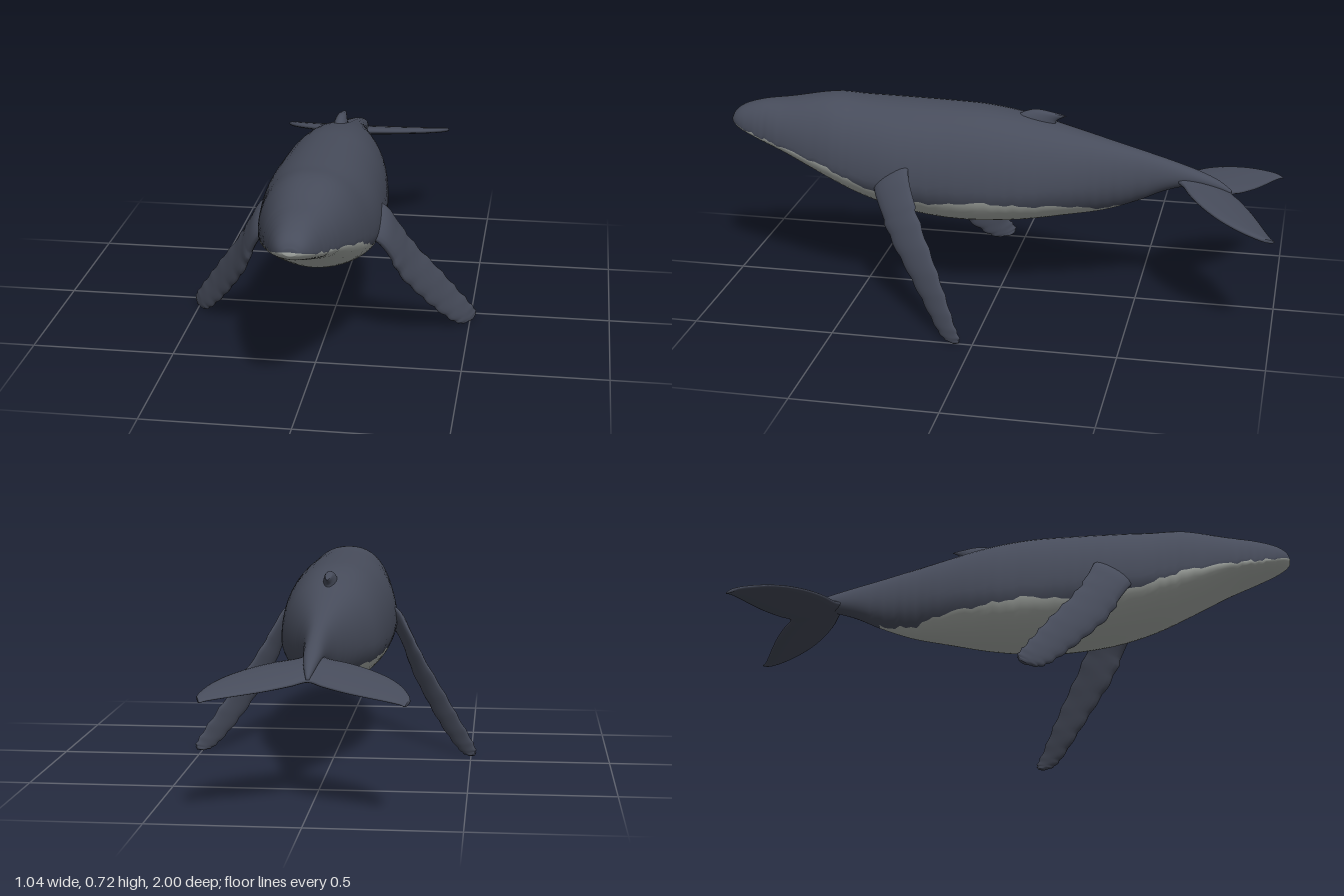
import * as THREE from 'three';

const V = (x, y, z) => new THREE.Vector3(x, y, z);
const curve = (pts) => new THREE.CatmullRomCurve3(pts, false, 'catmullrom', 0.5);

// Skin closed rings into a capped solid; group 0 is the main colour, group 1 the second one
function loft(rings, isSecond = () => false) {
  const n = rings[0].length, last = rings.length - 1;
  const pts = rings.flat();
  const sets = [[], []];
  for (let i = 0; i < last; i++) {
    for (let j = 0; j < n; j++) {
      const a = i * n + j, b = i * n + (j + 1) % n;
      sets[isSecond(i, j) ? 1 : 0].push(a, b, a + n, b, b + n, a + n);
    }
  }
  for (const i of [0, last]) {
    const mid = rings[i].reduce((s, p) => s.add(p), V(0, 0, 0)).divideScalar(n);
    const c = pts.push(mid) - 1;
    for (let j = 0; j < n; j++) {
      const a = i * n + j, b = i * n + (j + 1) % n;
      sets[isSecond(i, j) ? 1 : 0].push(...(i === 0 ? [c, b, a] : [c, a, b]));
    }
  }
  // Make every face point outward
  const idx = sets.flat();
  let volume = 0;
  for (let k = 0; k < idx.length; k += 3) {
    volume += pts[idx[k]].dot(V(0, 0, 0).crossVectors(pts[idx[k + 1]], pts[idx[k + 2]]));
  }
  if (volume < 0) for (let k = 0; k < idx.length; k += 3) [idx[k], idx[k + 1]] = [idx[k + 1], idx[k]];

  const geo = new THREE.BufferGeometry().setFromPoints(pts);
  geo.setIndex(idx);
  geo.addGroup(0, sets[0].length, 0);
  if (sets[1].length) geo.addGroup(sets[0].length, sets[1].length, 1);
  geo.computeVertexNormals();
  return geo;
}

// Fin: lens-shaped sections between a leading and a trailing edge
function foil(lead, trail, thickness, steps, bump = () => 0) {
  const L = curve(lead), T = curve(trail), K = 18;
  const mid = (t) => L.getPoint(t).add(T.getPoint(t)).multiplyScalar(0.5);
  const rings = [];
  for (let i = 0; i <= steps; i++) {
    const t = i / steps;
    const chord = T.getPoint(t).sub(L.getPoint(t));
    const span = mid(Math.min(1, t + 0.02)).sub(mid(Math.max(0, t - 0.02)));
    const normal = V(0, 0, 0).crossVectors(chord, span).normalize();
    const start = L.getPoint(t).addScaledVector(chord.clone().normalize(), -bump(t));
    rings.push(Array.from({ length: K }, (_, k) => {
      const a = (k / K) * Math.PI * 2, u = (1 - Math.cos(a)) / 2;
      return start.clone().addScaledVector(chord, u)
        .addScaledVector(normal, thickness(t) * 0.5 * Math.sin(a) * (1.15 - 0.4 * u));
    }));
  }
  return loft(rings);
}

// Body stations: z, top, bottom, half width, height of widest point, colour edge
const STATIONS = [
  [1.0, 0.615, 0.592, 0.022, 0.603, 0.603],
  [0.985, 0.638, 0.578, 0.045, 0.6, 0.597],
  [0.95, 0.66, 0.56, 0.068, 0.588, 0.585],
  [0.88, 0.68, 0.533, 0.095, 0.568, 0.566],
  [0.78, 0.694, 0.492, 0.128, 0.548, 0.543],
  [0.62, 0.721, 0.41, 0.17, 0.51, 0.5],
  [0.5, 0.717, 0.355, 0.192, 0.48, 0.45],
  [0.36, 0.714, 0.31, 0.208, 0.465, 0.405],
  [0.2, 0.711, 0.284, 0.206, 0.455, 0.39],
  [0.05, 0.705, 0.281, 0.196, 0.45, 0.404],
  [-0.1, 0.682, 0.295, 0.175, 0.45, 0.392],
  [-0.25, 0.644, 0.32, 0.132, 0.46, 0.386],
  [-0.38, 0.61, 0.345, 0.09, 0.47, 0.366],
  [-0.5, 0.578, 0.388, 0.057, 0.48, 0.39],
  [-0.6, 0.55, 0.434, 0.04, 0.49, 0.42],
  [-0.7, 0.518, 0.46, 0.03, 0.488, 0.44],
  [-0.78, 0.485, 0.45, 0.018, 0.466, 0.44],
  [-0.83, 0.45, 0.435, 0.006, 0.442, 0.43],
];

function bodyGeometry() {
  const A = curve(STATIONS.map((s) => V(s[0], s[1], s[2])));
  const B = curve(STATIONS.map((s) => V(s[3], s[4], s[5])));
  const STEPS = 102, BACK = 14, HALF = 24;
  const rings = [], zs = [];
  for (let i = 0; i <= STEPS; i++) {
    const { x: z, y: top, z: bottom } = A.getPoint(i / STEPS);
    const { x: w, y: mid, z: e } = B.getPoint(i / STEPS);
    zs.push(z);
    // Slightly ragged colour edge
    const edge = e + (z < 0.95 ? 0.004 * Math.sin(i * 1.3) + 0.003 * Math.sin(i * 2.9) : 0);
    const h = edge > mid ? top - mid : mid - bottom;
    const split = Math.min(Math.acos(THREE.MathUtils.clamp((edge - mid) / h, -1, 1)), Math.PI * 0.97);
    rings.push(Array.from({ length: HALF * 2 }, (_, j) => {
      const k = j <= HALF ? j : HALF * 2 - j;
      const a = k <= BACK ? (split * k) / BACK
        : split + ((Math.PI - split) * (k - BACK)) / (HALF - BACK);
      const c = Math.cos(a), s = Math.max(0, Math.sin(a));
      const x = w * Math.pow(s, c > 0 ? 0.88 : 1.12);
      return V(j <= HALF ? x : -x, mid + c * (c > 0 ? top - mid : mid - bottom), z);
    }));
  }
  return loft(rings, (i, j) => zs[i] > -0.49 && (j < HALF ? j : HALF * 2 - 1 - j) >= BACK);
}

export function createModel() {
  const slate = new THREE.MeshStandardMaterial({ color: 0x474c5b });
  slate.name = 'slate skin';
  const pale = new THREE.MeshStandardMaterial({ color: 0xaeb3ae });
  pale.name = 'pale belly';

  const model = new THREE.Group();
  model.name = 'whale';
  const add = (name, geo, material = slate) => {
    const mesh = new THREE.Mesh(geo, material);
    mesh.name = name;
    model.add(mesh);
  };

  add('body', bodyGeometry(), [slate, pale]);

  // Flippers with a knobbly leading edge
  const lead = [[0.14, 0.45, 0.43], [0.2, 0.425, 0.415], [0.238, 0.37, 0.385], [0.278, 0.27, 0.33],
    [0.332, 0.18, 0.26], [0.387, 0.1, 0.195], [0.44, 0.037, 0.14], [0.472, 0.01, 0.105], [0.495, 0.005, 0.07]];
  const trail = [[0.14, 0.55, 0.3], [0.212, 0.515, 0.29], [0.255, 0.445, 0.265], [0.32, 0.34, 0.21],
    [0.39, 0.24, 0.15], [0.45, 0.15, 0.1], [0.5, 0.075, 0.06], [0.52, 0.036, 0.038], [0.514, 0.014, 0.045]];
  for (const [name, side] of [['leftFlipper', 1], ['rightFlipper', -1]]) {
    const mirror = (list) => list.map(([x, y, z]) => V(x * side, y, z));
    add(name, foil(mirror(lead), mirror(trail), (t) => 0.05 - 0.034 * t, 72,
      (t) => (t > 0.3 && t < 0.92 ? 0.007 * Math.abs(Math.sin(t * 36)) : 0)));
  }

  // Tail flukes: x, leading z, trailing z, swept from tip to tip
  const half = [[0.05, -0.658, -0.868], [0.12, -0.69, -0.908], [0.19, -0.735, -0.94],
    [0.255, -0.795, -0.967], [0.3, -0.86, -0.988], [0.326, -0.925, -1.0], [0.332, -0.96, -0.999]];
  const all = [...half.map(([x, a, b]) => [-x, a, b]).reverse(), [0, -0.62, -0.835], ...half];
  const flukePoint = (x, z) => V(x, 0.476 + (z + 0.66) * 0.245, z);
  add('tailFlukes', foil(all.map(([x, a]) => flukePoint(x, a)),
    all.map(([x, , b]) => flukePoint(x * (Math.abs(x) > 0.32 ? 0.96 : 1), b)),
    (t) => 0.038 - 0.026 * Math.abs(t * 2 - 1), 64));

  // Small hooked dorsal fin
  add('dorsalFin', foil(
    [V(0, 0.65, 0), V(0, 0.682, -0.06), V(0, 0.7, -0.1), V(0, 0.705, -0.135), V(0, 0.697, -0.18)],
    [V(0, 0.63, -0.2), V(0, 0.66, -0.2), V(0, 0.672, -0.21), V(0, 0.681, -0.228), V(0, 0.686, -0.238)],
    (t) => 0.064 - 0.05 * t, 20));

  return model;
}
